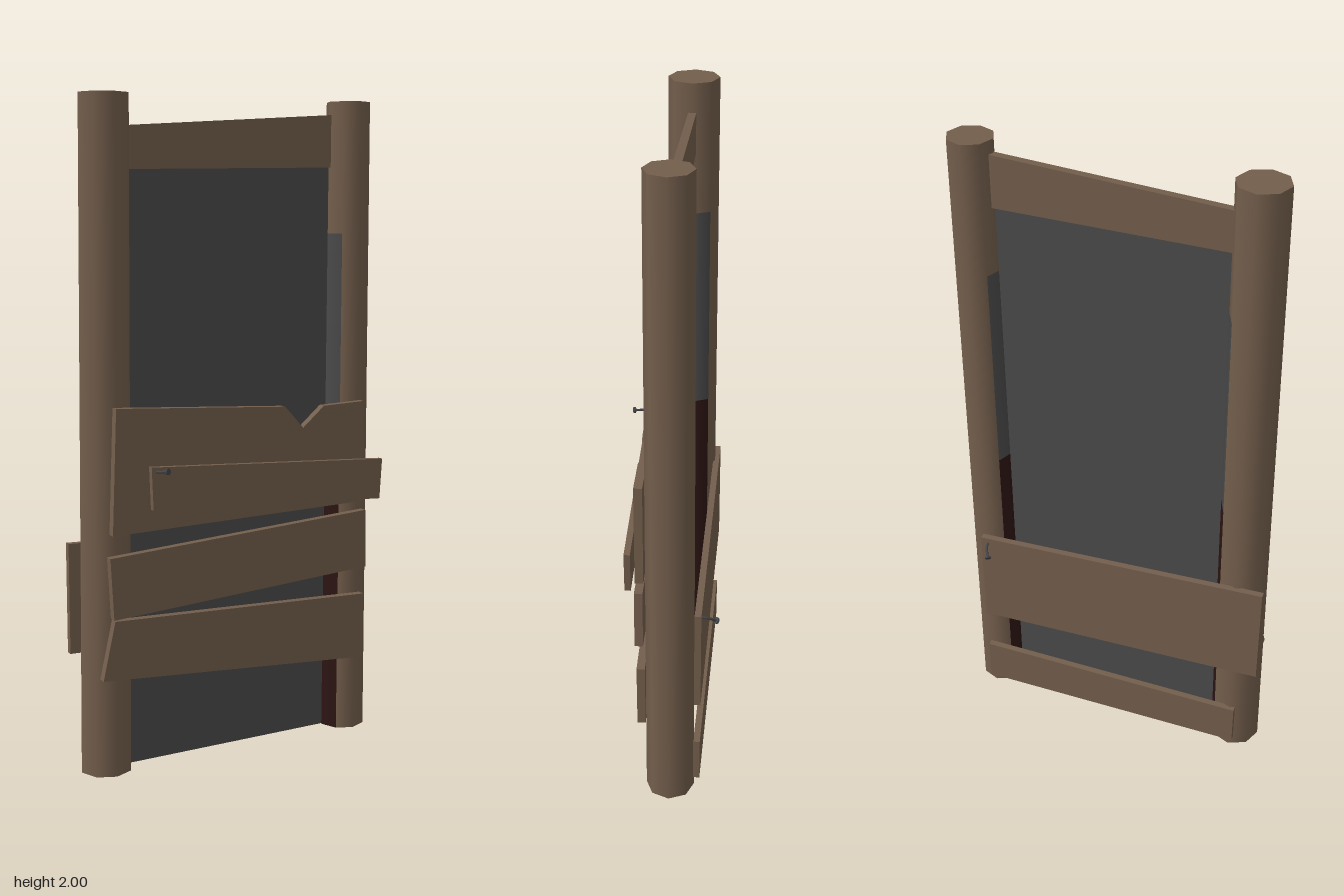
import * as THREE from 'three';

const mat = (name, color, side = THREE.FrontSide) => {
  const m = new THREE.MeshStandardMaterial({ color, side });
  m.name = name;
  return m;
};

export function createModel() {
  const group = new THREE.Group();
  const wood = mat('brown wood', 0x735e4c);
  const grey = mat('dark grey panel', 0x4a4a4a, THREE.DoubleSide);
  const stain = mat('dark red stain', 0x2c1513);
  const iron = mat('nail iron', 0x45464a);

  const add = (name, geometry, material, parent = group) => {
    const m = new THREE.Mesh(geometry, material);
    m.name = name;
    parent.add(m);
    return m;
  };

  // Leaning eight-sided posts; the inner quarter is stained in bands
  const post = (name, xBottom, xTop, z, rBottom, rTop, innerStart) => {
    const g = new THREE.Group();
    g.name = name;
    const mix = (a, b, t) => a + (b - a) * t;
    const band = (part, y0, y1, start, sweep, material) => {
      const r0 = mix(rBottom, rTop, y0 / 2), r1 = mix(rBottom, rTop, y1 / 2);
      const geo = new THREE.CylinderGeometry(r1, r0, y1 - y0, Math.round(sweep / (Math.PI / 4)), 1, true, start, sweep);
      const p = geo.attributes.position;
      for (let i = 0; i < p.count; i++) {
        const y = p.getY(i) + (y0 + y1) / 2;
        p.setXYZ(i, p.getX(i) + mix(xBottom, xTop, y / 2), y, p.getZ(i) + z);
      }
      add(part, geo, material, g);
    };
    band('postOuter', 0, 2, innerStart + Math.PI / 2, Math.PI * 1.5, wood);
    band('postInnerLow', 0, 0.95, innerStart, Math.PI / 2, stain);
    band('postInnerMiddle', 0.95, 1.6, innerStart, Math.PI / 2, grey);
    band('postInnerTop', 1.6, 2, innerStart, Math.PI / 2, wood);
    const top = add('postTop', new THREE.CircleGeometry(rTop, 8), wood, g);
    top.rotation.x = -Math.PI / 2;
    top.position.set(xTop, 2, z);
    const bottom = add('postBottom', new THREE.CircleGeometry(rBottom, 8), wood, g);
    bottom.rotation.x = Math.PI / 2;
    bottom.position.set(xBottom, 0, z);
    group.add(g);
  };
  post('rightPost', -0.42, -0.4, -0.025, 0.08, 0.077, Math.PI / 4);
  post('leftPost', 0.424, 0.424, -0.018, 0.074, 0.068, Math.PI * 1.25);

  // Boards: an outline extruded in z, skewed so z changes along x
  const board = (name, points, zCentre, depth, slope = 0) => {
    const shape = new THREE.Shape(points.map(([x, y]) => new THREE.Vector2(x, y)));
    const geo = new THREE.ExtrudeGeometry(shape, { depth, bevelEnabled: false });
    const p = geo.attributes.position;
    for (let i = 0; i < p.count; i++) p.setZ(i, p.getZ(i) + zCentre - depth / 2 + slope * p.getX(i));
    geo.computeVertexNormals();
    add(name, geo, wood);
  };
  board('topBeam', [[-0.36, 1.788], [0.39, 1.802], [0.39, 1.962], [-0.36, 1.91]], -0.024, 0.024);
  board('notchedFrontBoard', [[-0.44, 0.745], [0.43, 0.76], [0.43, 1.08], [0.28, 1.075], [0.205, 1.012],
    [0.14, 1.082], [-0.425, 1.115]], 0.075, 0.025, -0.01);
  board('narrowFrontBoard', [[-0.32, 0.812], [0.478, 0.768], [0.486, 0.895], [-0.325, 0.94]], 0.102, 0.018, -0.008);
  board('middleFrontBoard', [[-0.44, 0.495], [0.445, 0.545], [0.44, 0.73], [-0.45, 0.68]], 0.077, 0.025, -0.01);
  board('lowFrontBoard', [[-0.475, 0.315], [0.435, 0.245], [0.44, 0.455], [-0.435, 0.49]], 0.073, 0.025, -0.01);
  board('wideBackBoard', [[-0.5, 0.35], [0.435, 0.325], [0.435, 0.655], [-0.5, 0.69]], -0.104, 0.02, 0.008);
  board('lowBackBoard', [[-0.435, 0.03], [0.435, 0.035], [0.435, 0.18], [-0.435, 0.17]], -0.103, 0.02, 0.008);

  // Thin panel filling the frame
  const panel = add('panel', new THREE.PlaneGeometry(0.74, 1.81), grey);
  panel.position.set(0.01, 0.905, -0.024);

  // Bent nails with flat heads
  const nail = (name, points) => {
    const g = new THREE.Group();
    g.name = name;
    const curve = new THREE.CatmullRomCurve3(points.map(p => new THREE.Vector3(...p)));
    add('nailShaft', new THREE.TubeGeometry(curve, 6, 0.004, 6), iron, g);
    const head = add('nailHead', new THREE.CylinderGeometry(0.01, 0.01, 0.006, 8), iron, g);
    head.position.copy(curve.getPoint(1));
    head.quaternion.setFromUnitVectors(new THREE.Vector3(0, 1, 0), curve.getTangent(1));
    group.add(g);
  };
  nail('frontNail', [[-0.31, 0.925, 0.1], [-0.307, 0.927, 0.125], [-0.294, 0.932, 0.156]]);
  nail('backNail', [[0.412, 0.638, -0.095], [0.41, 0.634, -0.125], [0.395, 0.615, -0.153]]);
  return group;
}
